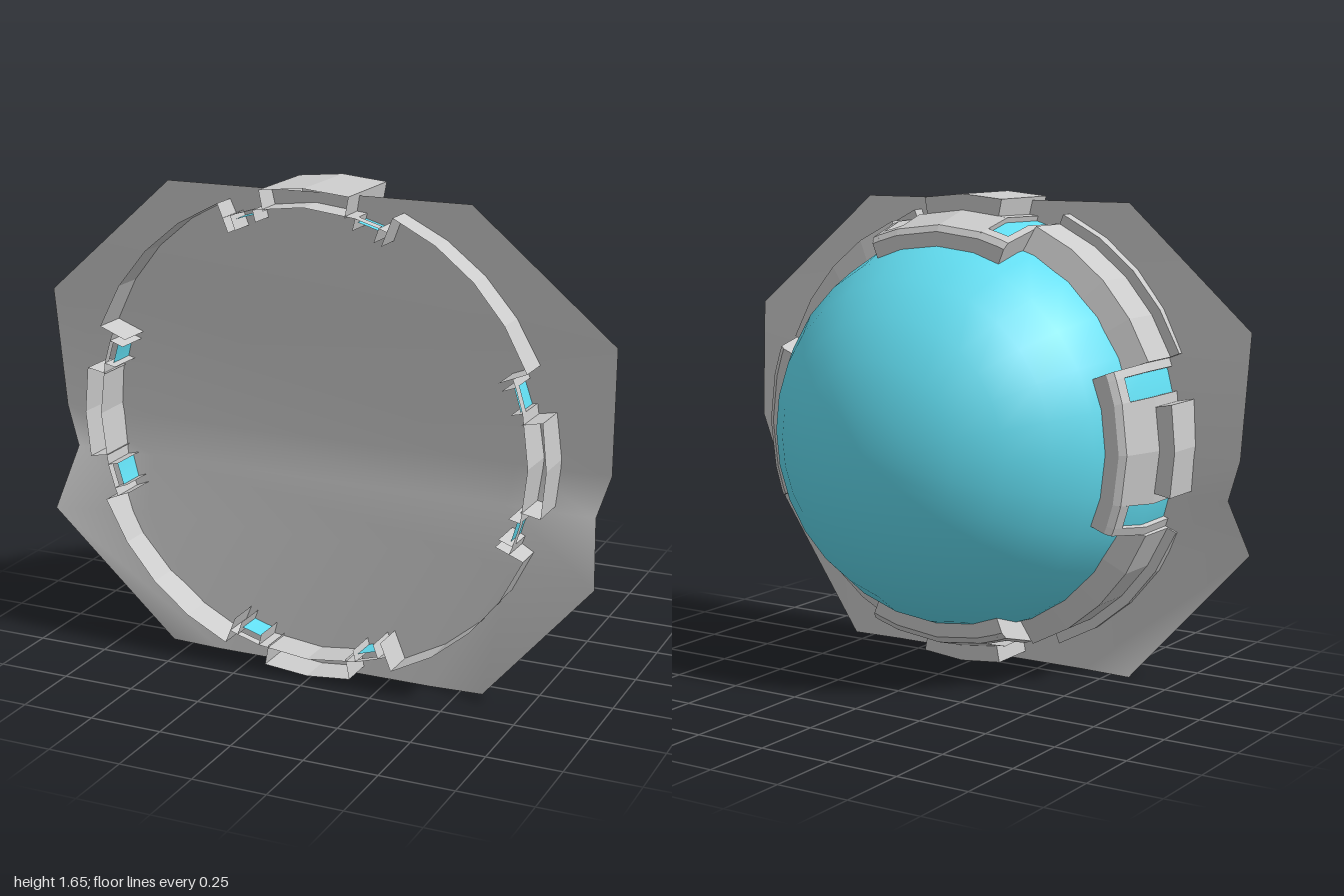
import * as THREE from 'three';

const D = Math.PI / 180;
const CENTER_Y = 0.835;
const grey = new THREE.MeshStandardMaterial({ color: 0xcccccc, flatShading: true, side: THREE.DoubleSide });
const smoothGrey = new THREE.MeshStandardMaterial({ color: 0xcccccc, side: THREE.DoubleSide });
const cyan = new THREE.MeshStandardMaterial({ color: 0x62deF2, side: THREE.DoubleSide });

function add(parent, name, geometry, material) {
  const mesh = new THREE.Mesh(geometry, material);
  mesh.name = name;
  parent.add(mesh);
  return mesh;
}

// Sweep a [radius, z] profile around the z axis from angle a0 to a1 (degrees from +x),
// closing both ends down to the inner radius.
function arc(parent, name, profile, a0, a1, segments, material = grey, inner = 0) {
  const part = new THREE.Group();
  part.name = name;
  parent.add(part);
  const points = profile.map(([r, z]) => new THREE.Vector2(r, z));
  const shell = new THREE.LatheGeometry(points, segments, (a0 + 90) * D, (a1 - a0) * D);
  add(part, name + 'Shell', shell.rotateX(Math.PI / 2), material);
  if (!inner) return;
  const last = profile[profile.length - 1], first = profile[0];
  const outline = [...points, new THREE.Vector2(inner, last[1]), new THREE.Vector2(inner, first[1])];
  for (const a of [a0, a1]) {
    const cap = new THREE.ShapeGeometry(new THREE.Shape(outline));
    add(part, name + 'End', cap.rotateX(Math.PI / 2).rotateZ(a * D), material);
  }
}

// Bent backing plate: rows of [y, half width, edge z, middle z], mirrored in x
function plateGeometry() {
  const rows = [
    [1.63, 0.53, 0.36, 0.36], [1.22, 1.0, 0.335, 0.335], [0.8, 0.985, 0.3, 0.3],
    [0.66, 0.94, 0.31, 0.31], [0.46, 0.975, 0.415, 0.325], [0, 0.575, 0.32, 0.33],
  ];
  const positions = [], index = [];
  rows.forEach(([y, w, ze, zm], i) => {
    positions.push(-w, y, ze, -w * 0.68, y, zm, w * 0.68, y, zm, w, y, ze);
    if (i === 0) return;
    for (let j = 0; j < 3; j++) {
      const a = (i - 1) * 4 + j, b = i * 4 + j;
      index.push(a, b, b + 1, a, b + 1, a + 1);
    }
  });
  const g = new THREE.BufferGeometry();
  g.setAttribute('position', new THREE.Float32BufferAttribute(positions, 3));
  g.setIndex(index);
  g.computeVertexNormals();
  return g;
}

export function createModel() {
  const model = new THREE.Group();
  model.name = 'domedPod';
  add(model, 'backingPlate', plateGeometry(), smoothGrey);

  const body = new THREE.Group();
  body.name = 'body';
  body.position.y = CENTER_Y;
  model.add(body);

  // Glass dome bulging to the back
  const dome = new THREE.SphereGeometry(0.705, 28, 7, 0, Math.PI * 2, 0, Math.PI / 2);
  add(body, 'dome', dome.rotateX(-Math.PI / 2), cyan).position.z = 0.25;

  // Profiles, from the back edge to the front rim
  const rim = [[0.68, 0.12], [0.775, 0.15], [0.775, 0.31], [0.81, 0.31], [0.81, 0.45]];
  const lip = [[0.64, -0.012], [0.7, -0.012], [0.722, 0.003]];
  const bracket = [...lip, [0.765, 0.15], [0.76, 0.45]];
  const frameBack = [...lip, [0.733, 0.04]];
  const frameFront = [[0.761, 0.42], [0.76, 0.45]];
  const pane = [[0.715, 0.04], [0.747, 0.15], [0.743, 0.42]];
  const block = [[0.75, 0.15], [0.82, 0.15], [0.82, 0.45]];

  for (let q = 0; q < 4; q++) {
    const quarter = new THREE.Group();
    quarter.name = 'quarter' + (q + 1);
    quarter.rotation.z = q * Math.PI / 2;
    body.add(quarter);

    // Stepped rim between the brackets
    arc(quarter, 'rim', rim, 22, 68, 4, grey, 0.73);
    // Bracket with a raised block on it
    arc(quarter, 'bracket', bracket, -13.5, 13.5, 2, grey, 0.72);
    arc(quarter, 'block', block, -10.9, 10.9, 2, grey, 0.75);
    // Recessed window and its frame on each side of the bracket
    for (const s of [-1, 1]) {
      const span = (from, to) => (s > 0 ? [from, to] : [-to, -from]);
      arc(quarter, 'bracketEdge', bracket, ...span(19.8, 22), 1, grey, 0.71);
      arc(quarter, 'windowFrameBack', frameBack, ...span(13.5, 19.8), 1);
      arc(quarter, 'windowFrameFront', frameFront, ...span(13.5, 19.8), 1);
      arc(quarter, 'window', pane, ...span(13.5, 19.8), 1, cyan);
    }
  }
  return model;
}
